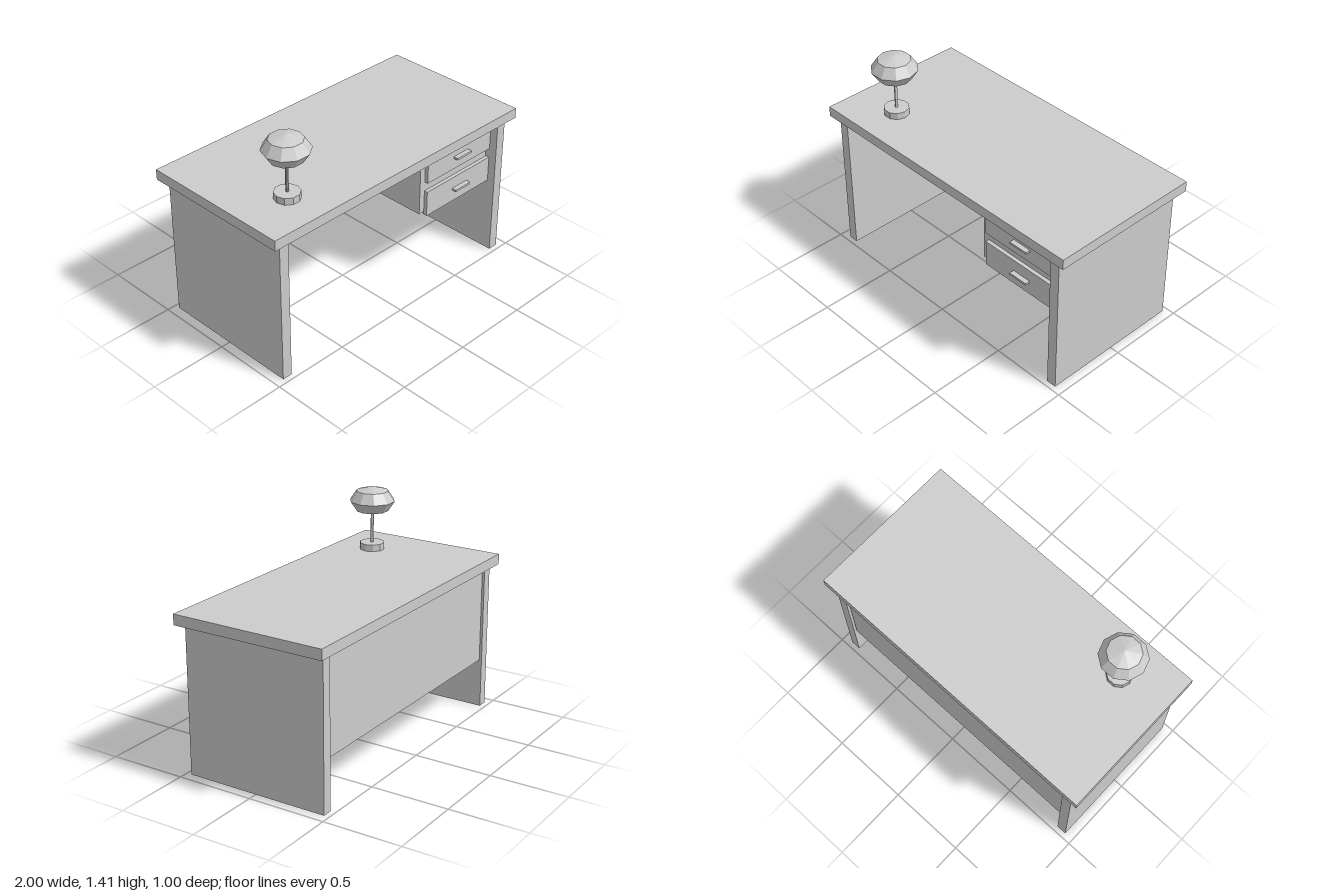
import * as THREE from 'three';

export function createModel() {
  const desk = new THREE.Group();
  desk.name = 'desk';
  const grey = new THREE.MeshStandardMaterial({ name: 'plainGrey', color: 0xcccccc, flatShading: true });

  function add(name, geometry, x, y, z) {
    const mesh = new THREE.Mesh(geometry, grey);
    mesh.name = name;
    mesh.position.set(x, y, z);
    desk.add(mesh);
    return mesh;
  }

  // Box given by its extents along each axis
  const slab = (name, [x0, x1], [y0, y1], [z0, z1]) =>
    add(name, new THREE.BoxGeometry(x1 - x0, y1 - y0, z1 - z0), (x0 + x1) / 2, (y0 + y1) / 2, (z0 + z1) / 2);

  // Top, side panels and back panel
  slab('tabletop', [-1, 1], [0.94, 1.007], [-0.5, 0.5]);
  slab('rightSidePanel', [-0.94, -0.875], [0, 0.94], [-0.467, 0.467]);
  slab('leftSidePanel', [0.875, 0.94], [0, 0.94], [-0.467, 0.467]);
  slab('backPanel', [-0.867, 0.865], [0.32, 0.94], [-0.455, -0.415]);

  // Drawer cabinet with two fronts and handles
  slab('drawerCabinet', [0.265, 0.87], [0.522, 0.922], [-0.41, 0.39]);
  for (const [label, y0, y1, handleY] of [['upper', 0.735, 0.9, 0.817], ['lower', 0.503, 0.673, 0.59]]) {
    slab(label + 'DrawerFront', [0.305, 0.875], [y0, y1], [0.39, 0.414]);
    slab(label + 'DrawerHandle', [0.535, 0.665], [handleY - 0.007, handleY + 0.007], [0.414, 0.445]);
  }

  // Ten-sided lamp with corners on the x axis
  const lampX = -0.668, lampZ = 0.24;
  const post = (name, radius, y0, y1) => {
    const geometry = new THREE.CylinderGeometry(radius, radius, y1 - y0, 10).rotateY(Math.PI / 2);
    add(name, geometry, lampX, (y0 + y1) / 2, lampZ);
  };
  post('lampBase', 0.079, 1.007, 1.05);
  post('lampPole', 0.01, 1.05, 1.25);
  const shade = add('lampShade', new THREE.SphereGeometry(0.145, 10, 4), lampX, 1.324, lampZ);
  shade.scale.y = 0.625;

  return desk;
}
